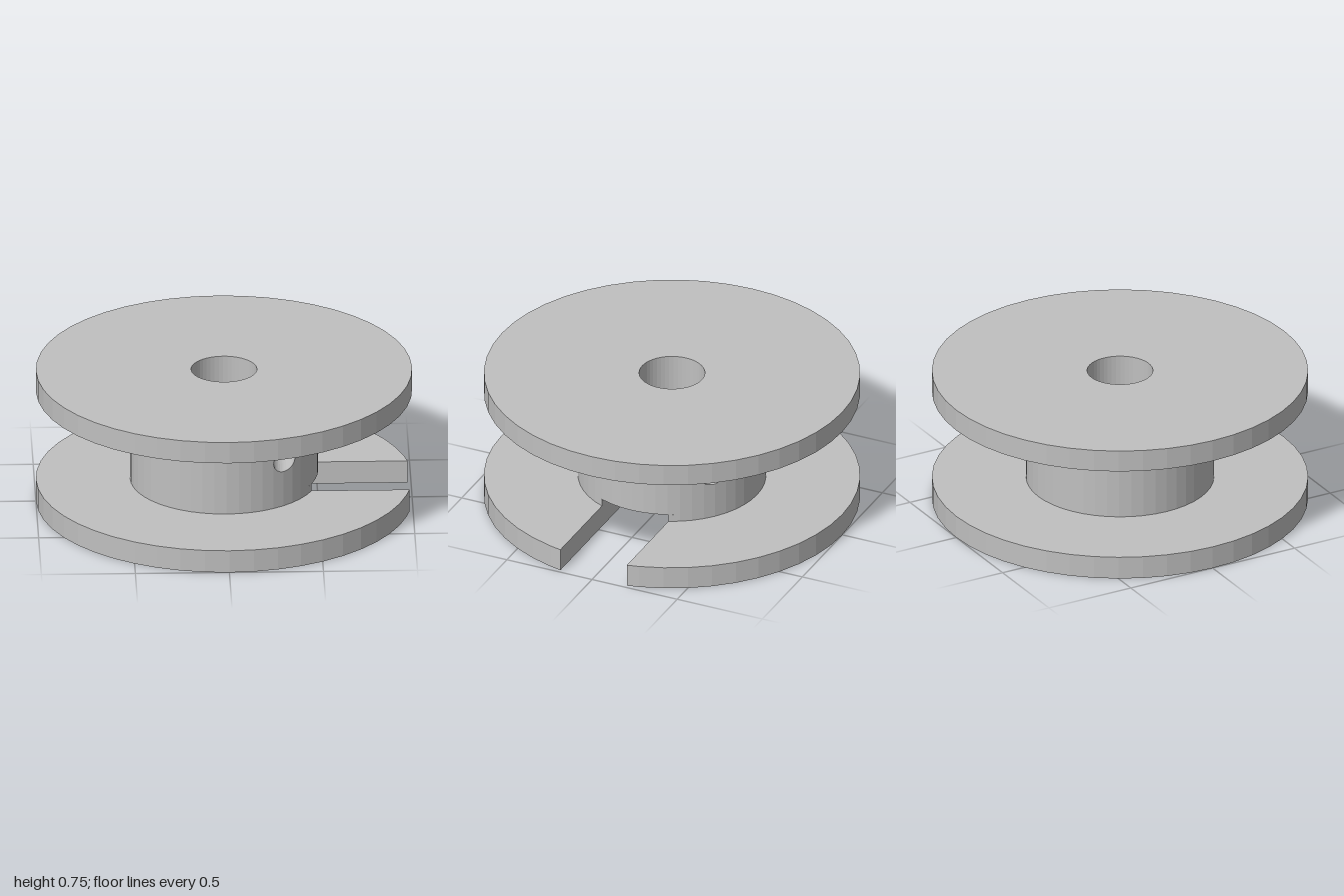
import * as THREE from 'three';

const SIDES = 48, STEP = (Math.PI * 2) / SIDES;
const FLANGE_R = 1, HUB_R = 0.5, BORE_R = 0.175, RECESS_R = 0.2325, SLOT = 0.195;
const FLANGE_TOP = 0.125, RECESS_TOP = 0.165, HUB_TOP = 0.63, TOP = 0.75;
const HOLE = { x: 0.31, y: 0.38, r: 0.058 };

const circle = (r) => Array.from({ length: SIDES }, (_, i) =>
  new THREE.Vector2(r * Math.cos(i * STEP), r * Math.sin(i * STEP)));

// Arc that leaves the slot opening on +x free, from one slot wall to the other
function openArc(r) {
  const a = Math.asin(SLOT / r);
  const pts = [new THREE.Vector2(r * Math.cos(a), SLOT)];
  for (let i = 1; i < SIDES; i++) {
    const t = i * STEP;
    if (t > a + 0.01 && t < Math.PI * 2 - a - 0.01) pts.push(new THREE.Vector2(r * Math.cos(t), r * Math.sin(t)));
  }
  pts.push(new THREE.Vector2(r * Math.cos(a), -SLOT));
  return pts;
}

// Disc with a round centre recess and a slot out to the rim
const slottedDisc = (r) => new THREE.Shape([...openArc(r), ...openArc(RECESS_R).reverse()]);

function slab(shape, y0, y1) {
  return new THREE.ExtrudeGeometry(shape, { depth: y1 - y0, bevelEnabled: false })
    .rotateX(-Math.PI / 2).translate(0, y0, 0);
}

function faceted(geometry) {
  const g = geometry.toNonIndexed();
  g.computeVertexNormals();
  return g;
}

// Open cylinder wall between two heights
function wall(r, y0, y1, start, segments) {
  return new THREE.CylinderGeometry(r, r, y1 - y0, segments, 1, true, start * STEP, segments * STEP)
    .translate(0, (y0 + y1) / 2, 0);
}

// Depth of the faceted hub surface at a given x
function hubZ(x) {
  const k = Math.floor(Math.acos(x / HUB_R) / STEP);
  const [a, b] = [k * STEP, (k + 1) * STEP];
  const [xa, xb] = [HUB_R * Math.cos(a), HUB_R * Math.cos(b)];
  return HUB_R * THREE.MathUtils.lerp(Math.sin(a), Math.sin(b), (x - xa) / (xb - xa));
}

// Front and back hub facets pierced by a straight cross hole, in narrow columns
function piercedWall() {
  const xs = [5, 6, 7, 8].map((k) => HUB_R * Math.cos(k * STEP));
  for (let i = 0; i <= 16; i++) xs.push(HOLE.x + HOLE.r * Math.cos((i * Math.PI) / 16));
  xs.sort((a, b) => a - b);
  const pos = [];
  const quad = (a, b, c, d, flip) => {
    const order = flip ? [a, c, b, a, d, c] : [a, b, c, a, c, d];
    order.forEach((p) => pos.push(...p));
  };
  const half = (x) => Math.sqrt(Math.max(0, HOLE.r ** 2 - (x - HOLE.x) ** 2));
  for (let i = 0; i < xs.length - 1; i++) {
    const [x0, x1] = [xs[i], xs[i + 1]];
    const [z0, z1, h0, h1] = [hubZ(x0), hubZ(x1), half(x0), half(x1)];
    for (const s of [1, -1]) {
      quad([x0, RECESS_TOP, s * z0], [x1, RECESS_TOP, s * z1],
        [x1, HOLE.y - h1, s * z1], [x0, HOLE.y - h0, s * z0], s < 0);
      quad([x0, HOLE.y + h0, s * z0], [x1, HOLE.y + h1, s * z1],
        [x1, HUB_TOP, s * z1], [x0, HUB_TOP, s * z0], s < 0);
      // Floor and roof of the hole
      if (h0 + h1 > 1e-5) {
        quad([x0, HOLE.y - s * h0, z0], [x1, HOLE.y - s * h1, z1],
          [x1, HOLE.y - s * h1, -z1], [x0, HOLE.y - s * h0, -z0], s < 0);
      }
    }
  }
  const g = new THREE.BufferGeometry();
  g.setAttribute('position', new THREE.Float32BufferAttribute(pos, 3));
  g.computeVertexNormals();
  return g;
}

export function createModel() {
  const grey = new THREE.MeshStandardMaterial({ color: 0xc0c0c0 });
  grey.name = 'grey';
  const model = new THREE.Group();
  model.name = 'spool';
  const add = (name, geometry, parent = model) => {
    const mesh = new THREE.Mesh(geometry, grey);
    mesh.name = name;
    parent.add(mesh);
  };

  // Flanges
  const topShape = new THREE.Shape(circle(FLANGE_R));
  topShape.holes.push(new THREE.Path(circle(BORE_R)));
  add('topFlange', slab(topShape, HUB_TOP, TOP));
  add('bottomFlange', slab(slottedDisc(FLANGE_R), 0, FLANGE_TOP));

  // Hub: slotted foot, outer wall with cross hole, recess ceiling and bore
  const hub = new THREE.Group();
  hub.name = 'hub';
  model.add(hub);
  add('hubFoot', slab(slottedDisc(HUB_R), FLANGE_TOP, RECESS_TOP), hub);
  add('hubWallSlotSide', faceted(wall(HUB_R, RECESS_TOP, HUB_TOP, 7, 10)), hub);
  add('hubWallFarSide', faceted(wall(HUB_R, RECESS_TOP, HUB_TOP, 20, 32)), hub);
  add('hubWallPierced', piercedWall(), hub);
  add('recessCeiling', new THREE.RingGeometry(BORE_R, HUB_R, SIDES)
    .rotateX(Math.PI / 2).translate(0, RECESS_TOP, 0), hub);
  // Mirrored so that its faces look inward
  add('bore', faceted(wall(BORE_R, RECESS_TOP, HUB_TOP, 0, SIDES).scale(-1, 1, 1)), hub);

  return model;
}
